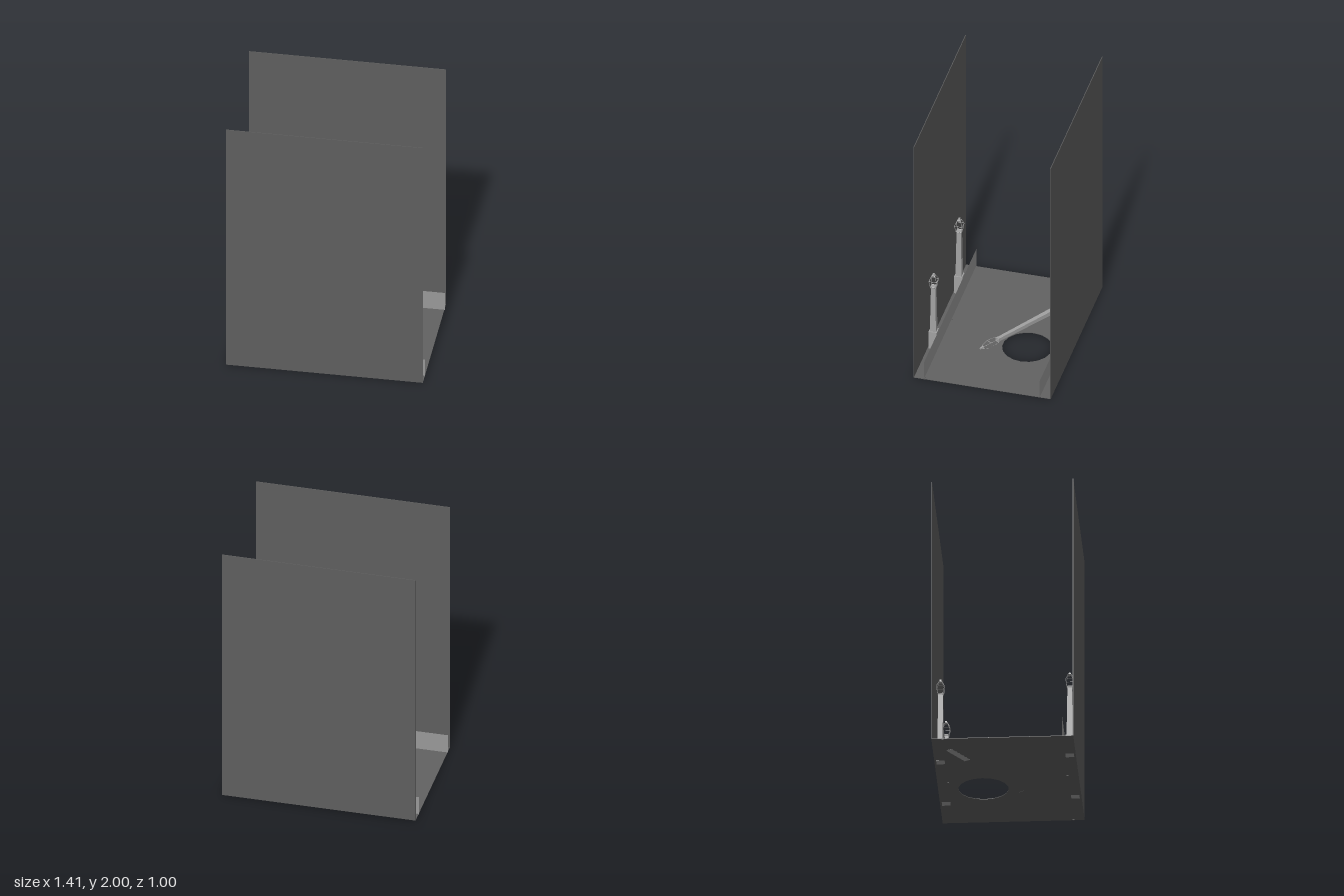
import * as THREE from 'three';

const paint = (color) => new THREE.MeshStandardMaterial({ color });
const wallPaint = paint(0x5e5e5e);
const floorPaint = paint(0x626262);
const lampPaint = paint(0xa2a2a2);
lampPaint.flatShading = true;
const kerbPaint = paint(0x989898);
kerbPaint.side = THREE.DoubleSide;

function add(parent, name, geometry, material = lampPaint) {
  const mesh = new THREE.Mesh(geometry, material);
  mesh.name = name;
  parent.add(mesh);
  return mesh;
}

// Square tapered block from y0 to y1, with half widths w0 and w1
function taper(parent, name, y0, y1, w0, w1) {
  const g = new THREE.CylinderGeometry(w1 * Math.SQRT2, w0 * Math.SQRT2, y1 - y0, 4);
  g.rotateY(Math.PI / 4);
  g.translate(0, (y0 + y1) / 2, 0);
  add(parent, name, g);
}

// Thin bar between two points
function bar(parent, name, a, b, r = 0.0018) {
  const d = b.clone().sub(a);
  const mesh = add(parent, name, new THREE.CylinderGeometry(r, r, d.length(), 4));
  mesh.position.copy(a).add(b).multiplyScalar(0.5);
  mesh.quaternion.setFromUnitVectors(new THREE.Vector3(0, 1, 0), d.normalize());
}

// Square lamp post with an open lantern frame
function lampPost(name) {
  const lamp = new THREE.Group();
  lamp.name = name;
  taper(lamp, 'lampBase', 0, 0.15, 0.03, 0.03);
  taper(lamp, 'lampShaft', 0.15, 0.52, 0.022, 0.016);
  taper(lamp, 'lampCollar', 0.52, 0.53, 0.017, 0.019);

  const levels = [[0.53, 0.02], [0.583, 0.028], [0.622, 0.012]];
  const corner = ([y, w], i) => new THREE.Vector3(
    i % 4 < 2 ? w : -w, y, (i + 1) % 4 < 2 ? w : -w);
  levels.forEach((level, k) => {
    for (let i = 0; i < 4; i++) {
      bar(lamp, 'lanternRing', corner(level, i), corner(level, i + 1));
      if (k < 2) bar(lamp, 'lanternRib', corner(level, i), corner(levels[k + 1], i));
    }
  });
  taper(lamp, 'lanternCap', 0.62, 0.626, 0.012, 0.008);
  taper(lamp, 'lanternFinial', 0.626, 0.64, 0.009, 0.006);
  return lamp;
}

export function createModel() {
  const model = new THREE.Group();
  model.name = 'walledWalkway';

  // Thin floor with a round opening
  const outline = new THREE.Shape([[-0.702, -0.5], [0.702, -0.5], [0.702, 0.5], [-0.702, 0.5]]
    .map(([x, y]) => new THREE.Vector2(x, y)));
  const opening = new THREE.Path();
  opening.absarc(0.145, 0.18, 0.178, 0, Math.PI * 2, true);
  outline.holes.push(opening);
  const slab = new THREE.ExtrudeGeometry(outline, { depth: 0.004, bevelEnabled: false, curveSegments: 9 });
  const floor = add(model, 'floor', slab, floorPaint);
  floor.rotation.x = -Math.PI / 2;
  floor.position.y = 0.005;

  // Each long side: wall, low kerb panel, two lamps and two studs, turned half round
  for (const turn of [0, Math.PI]) {
    const side = new THREE.Group();
    side.name = turn ? 'backSide' : 'frontSide';
    side.rotation.y = turn;
    add(side, 'wall', new THREE.BoxGeometry(1.405, 1.995, 0.005), wallPaint).position.set(0, 1.0025, 0.4975);
    add(side, 'kerbPanel', new THREE.PlaneGeometry(1.412, 0.145), kerbPaint).position.set(0, 0.08, 0.422);
    for (const x of [-0.378, 0.312]) {
      const lamp = lampPost('lampPost');
      lamp.position.set(x, 0.004, 0.457);
      side.add(lamp);
    }
    for (const x of [-0.035, 0.695]) {
      add(side, 'stud', new THREE.BoxGeometry(0.012, 0.012, 0.012), floorPaint).position.set(x, 0.008, 0.422);
    }
    model.add(side);
  }

  // Longer, slimmer lamp lying across the floor
  const fallen = lampPost('fallenLampPost');
  fallen.scale.set(0.76, 1.48, 0.76);
  fallen.rotation.set(0, -Math.atan2(0.515, 0.79), -Math.PI / 2, 'YXZ');
  fallen.position.set(-0.52, 0.027, -0.388);
  model.add(fallen);

  return model;
}
